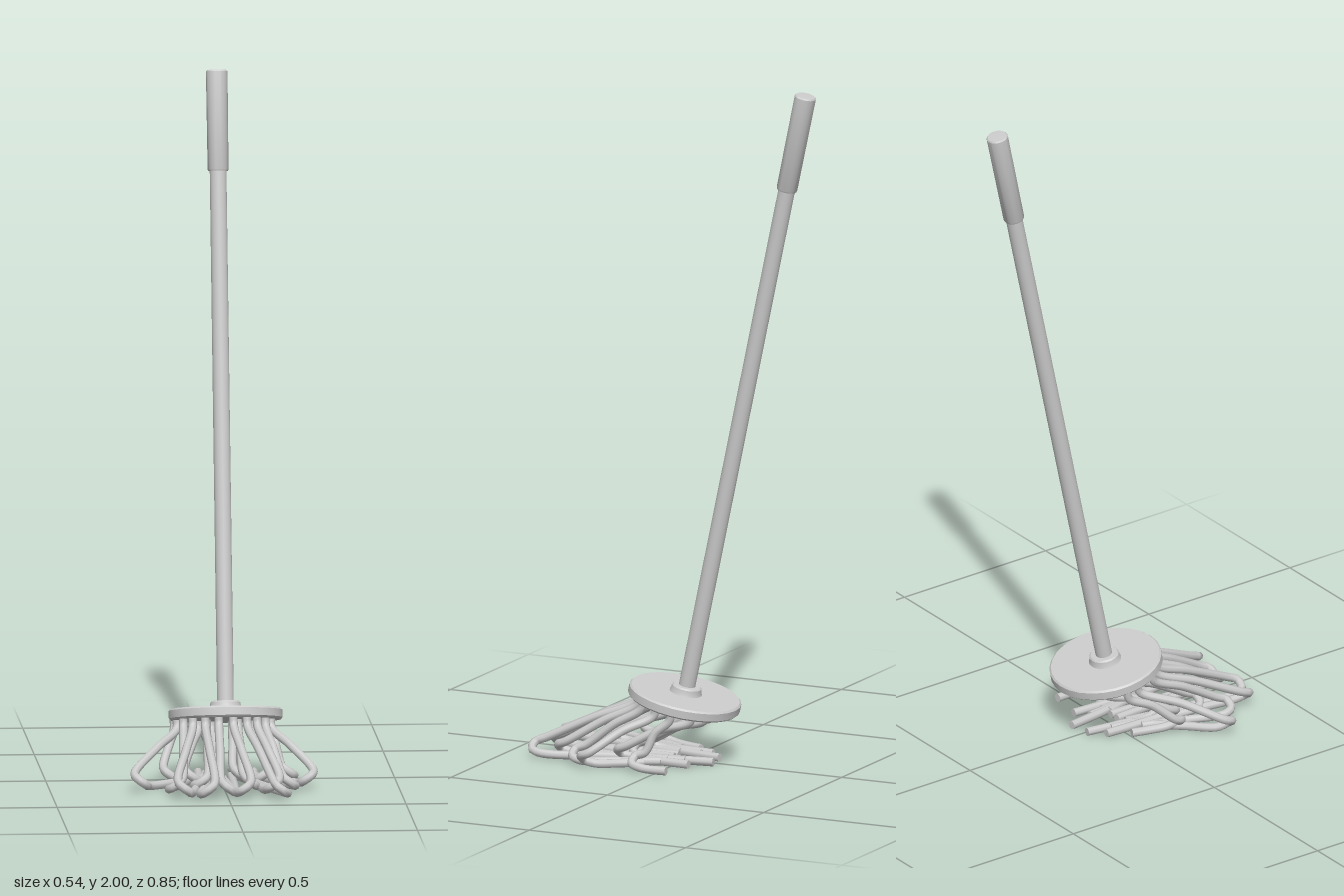
import * as THREE from 'three';
import { toCreasedNormals } from 'three/addons/utils/BufferGeometryUtils.js';

const material = new THREE.MeshStandardMaterial({ color: 0xcccccc });
const TILT = 0.211, CX = 0.016, CY = 0.187, CZ = -0.006;
const ROPE = 0.0125;

function add(parent, name, geometry) {
  const mesh = new THREE.Mesh(geometry, material);
  mesh.name = name;
  parent.add(mesh);
  return mesh;
}

function lathe(profile, sides) {
  const points = profile.map(([r, y]) => new THREE.Vector2(r, y));
  return toCreasedNormals(new THREE.LatheGeometry(points, sides), 0.6);
}

// One strand: hangs from the plate, reaches its tip, then folds back along the floor
function strand(parent, [rootX, rootZ, tipX, tipZ, endX, endZ, side]) {
  const rootY = CY - 0.005 + rootZ * Math.tan(TILT);
  const w = 0.02 * side;
  const reach = tipZ - rootZ;
  const p = (x, y, z) => new THREE.Vector3(x, y, z);
  const curve = new THREE.CatmullRomCurve3([
    p(rootX, rootY, rootZ),
    p(rootX, rootY - 0.032, rootZ + 0.01),
    p(rootX + (tipX - w - rootX) * 0.45, rootY * 0.38 + 0.042, rootZ + reach * 0.42),
    p(tipX - w, 0.052, tipZ - 0.04),
    p(tipX - w * 0.6, 0.041, tipZ - 0.014),
    p(tipX + w * 0.6, 0.024, tipZ - 0.014),
    p(tipX + w, ROPE + 0.003, tipZ - 0.045),
    p((tipX + w + endX) / 2, ROPE, (tipZ - 0.04 + endZ) / 2),
    p(endX, ROPE, endZ),
  ], false, 'centripetal');
  const rope = add(parent, 'strand', new THREE.TubeGeometry(curve, 48, ROPE, 8));
  const cap = add(rope, 'strandEnd', new THREE.CircleGeometry(ROPE, 8));
  cap.position.copy(curve.getPoint(1));
  cap.lookAt(curve.getPoint(1).add(curve.getTangent(1)));
}

export function createModel() {
  const model = new THREE.Group();
  model.name = 'mop';

  // Tilted plate, collar, pole and grip share one axis
  const stick = new THREE.Group();
  stick.name = 'stick';
  stick.position.set(CX, CY, CZ);
  stick.rotation.x = -TILT;
  model.add(stick);

  add(stick, 'plate', lathe([
    [0, -0.016], [0.158, -0.016], [0.163, -0.011], [0.163, 0.011], [0.158, 0.016], [0, 0.016],
  ], 28));
  add(stick, 'collar', lathe([
    [0.048, 0.014], [0.045, 0.021], [0.043, 0.034], [0.039, 0.038], [0, 0.038],
  ], 24));
  const pole = add(stick, 'pole', new THREE.CylinderGeometry(0.024, 0.024, 1.6, 20));
  pole.position.y = 0.81;
  add(stick, 'grip', lathe([
    [0, 1.557], [0.028, 1.557], [0.03, 1.561], [0.031, 1.842], [0.028, 1.846], [0, 1.847],
  ], 20));

  // Strands: root x, root z, tip x, tip z, end x, end z, side of the return
  const strands = new THREE.Group();
  strands.name = 'strands';
  model.add(strands);
  [
    // Outer ring, from the right side round the front to the left
    [-0.125, 0.0, -0.24, 0.26, -0.09, 0.08, 1],
    [-0.11, 0.06, -0.145, 0.325, -0.08, 0.05, -1],
    [-0.085, 0.085, -0.125, 0.405, -0.05, 0.04, 1],
    [-0.05, 0.105, -0.06, 0.425, -0.03, 0.03, -1],
    [-0.012, 0.115, 0.0, 0.395, 0.0, 0.02, 1],
    [0.03, 0.12, 0.045, 0.405, 0.03, 0.02, -1],
    [0.07, 0.11, 0.148, 0.425, 0.05, 0.03, 1],
    [0.1, 0.095, 0.13, 0.35, 0.07, 0.02, -1],
    [0.125, 0.07, 0.18, 0.28, 0.1, 0.03, 1],
    [0.145, 0.02, 0.235, 0.225, 0.13, 0.07, -1],
    [0.145, -0.03, 0.19, 0.085, 0.204, -0.04, 1],
    [-0.13, -0.04, -0.15, 0.145, -0.1, 0.0, 1],
    // Inner and rear strands
    [-0.06, -0.07, -0.09, 0.17, -0.06, -0.06, 1],
    [-0.02, -0.09, -0.03, 0.14, -0.02, -0.1, -1],
    [0.04, -0.09, 0.05, 0.15, 0.04, -0.11, 1],
    [0.09, -0.07, 0.11, 0.17, 0.1, -0.06, -1],
    [-0.04, 0.01, -0.07, 0.27, -0.04, -0.03, -1],
    [0.05, 0.01, 0.07, 0.28, 0.06, -0.03, 1],
  ].forEach((row) => strand(strands, row));

  return model;
}
